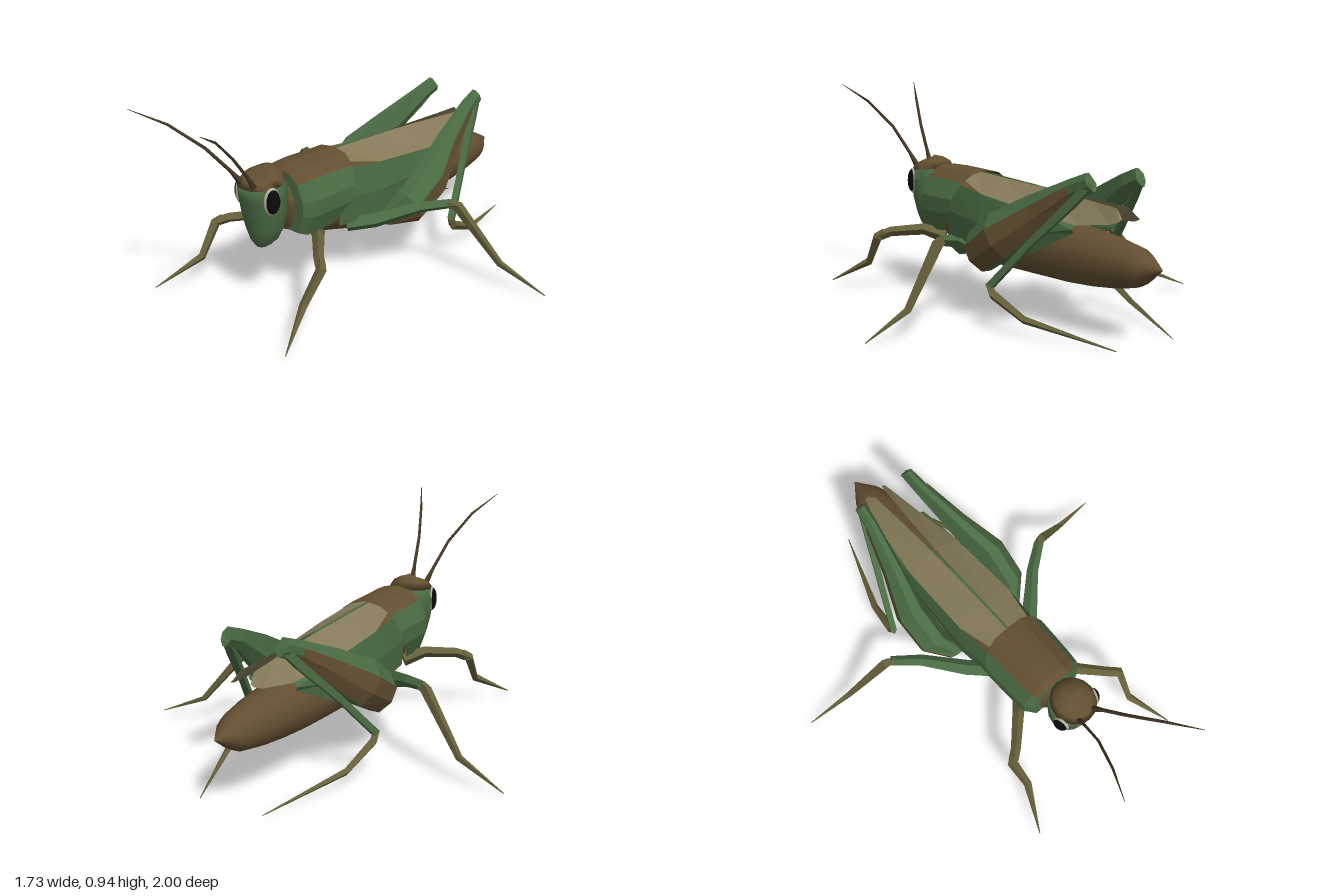
import * as THREE from 'three';

const V = (x, y, z) => new THREE.Vector3(x, y, z);
const mat = (color, flatShading = true) =>
  new THREE.MeshStandardMaterial({ color, flatShading, side: THREE.DoubleSide });

const GREEN = 0x4a6b43, BROWN = 0x634f31, TAN = 0x857a58, OLIVE = 0x65603a, DARK = 0x463824;

// Skin a row of equal-length rings; closed rings get end caps and face outward
function loft(rings, closed = true) {
  const n = rings[0].length, pos = [], idx = [];
  rings.forEach(r => r.forEach(p => pos.push(p.x, p.y, p.z)));
  for (let i = 0; i < rings.length - 1; i++)
    for (let j = 0; j < (closed ? n : n - 1); j++) {
      const a = i * n + j, b = i * n + (j + 1) % n;
      idx.push(a, b, b + n, a, b + n, a + n);
    }
  if (closed) {
    const last = (rings.length - 1) * n;
    for (let j = 1; j < n - 1; j++) idx.push(0, j + 1, j, last, last + j, last + j + 1);
    let volume = 0;
    const p = k => V(pos[3 * k], pos[3 * k + 1], pos[3 * k + 2]);
    for (let k = 0; k < idx.length; k += 3) volume += p(idx[k]).dot(p(idx[k + 1]).cross(p(idx[k + 2])));
    if (volume < 0) idx.reverse();
  }
  const g = new THREE.BufferGeometry();
  g.setAttribute('position', new THREE.Float32BufferAttribute(pos, 3));
  g.setIndex(idx);
  g.computeVertexNormals();
  return g;
}

function part(name, geometry, color, flat = true) {
  const m = new THREE.Mesh(geometry, mat(color, flat));
  m.name = name;
  return m;
}

const ring = (n, f) => Array.from({ length: n }, (_, i) => {
  const a = (i / n) * Math.PI * 2;
  return f(Math.cos(a), Math.sin(a));
});

// Bent, tapering limb; rows are [x, y, z, radius]
function limb(rows, sides = 4) {
  const pts = rows.map(r => V(r[0], r[1], r[2]));
  const end = pts.length - 1;
  const ref = pts[1].clone().sub(pts[0]).cross(pts[end].clone().sub(pts[0])).normalize();
  return loft(pts.map((p, i) => {
    const t = pts[Math.min(i + 1, end)].clone().sub(pts[Math.max(i - 1, 0)]).normalize();
    const u = ref.clone().cross(t).normalize(), v = t.clone().cross(u);
    return ring(sides, (c, s) => p.clone().addScaledVector(u, c * rows[i][3]).addScaledVector(v, s * rows[i][3]));
  }));
}

// Everything that exists once per side, built on +x
function buildSide() {
  const g = new THREE.Group();

  // Folded wing: tan roof [z, inner x, inner y, edge x, edge y] and green flank
  const roof = [[0.14, 0.005, 0.575, 0.1, 0.55], [-0.05, 0.005, 0.565, 0.14, 0.505],
    [-0.4, 0.008, 0.545, 0.132, 0.465], [-0.62, 0.018, 0.53, 0.1, 0.44],
    [-0.78, 0.028, 0.52, 0.068, 0.46], [-0.82, 0.04, 0.485, 0.055, 0.475]];
  g.add(part('wing', loft(roof.map(([z, a, b, c, d]) => [V(a, b, z), V(c, d, z)]), false), TAN));
  const flank = [[0.2, 0.12, 0.53, 0.13, 0.28], [-0.05, 0.14, 0.505, 0.155, 0.26],
    [-0.4, 0.132, 0.465, 0.14, 0.3], [-0.62, 0.1, 0.44, 0.11, 0.41]];
  g.add(part('wingFlank', loft(flank.map(([z, a, b, c, d]) =>
    [V(a, b, z), V((a + c) / 2 + 0.015, (b + d) / 2, z), V(c, d, z)]), false), GREEN));

  // Hind thigh: rows are centre x, y, z, half height, half width
  const thigh = [[0.16, 0.23, -0.05, 0.03, 0.04], [0.22, 0.28, -0.15, 0.09, 0.07],
    [0.225, 0.37, -0.3, 0.1, 0.07], [0.18, 0.48, -0.47, 0.075, 0.045],
    [0.14, 0.59, -0.65, 0.042, 0.03], [0.13, 0.625, -0.74, 0.04, 0.025]];
  const thighPoint = ([x, y, z, h, w], a, b) => V(x + a * w, y + 0.86 * b * h, z + 0.51 * b * h);
  const outline = [[0.35, 1], [1, 0.35], [0.9, -0.4], [0.25, -1], [-0.35, -1], [-1, -0.2], [-0.35, 1]];
  g.add(part('hindThigh', loft(thigh.map(t => outline.map(([a, b]) => thighPoint(t, a, b)))), GREEN));
  g.add(part('hindThighPanel', loft(thigh.slice(0, 5).map(t =>
    outline.slice(1, 4).map(([a, b]) => thighPoint(t, a, b).add(V(0.004, -0.001, 0)))), false), BROWN));
  g.add(part('hindShin', limb([[0.13, 0.62, -0.74, 0.022], [0.16, 0.54, -0.67, 0.024],
    [0.24, 0.36, -0.5, 0.019], [0.31, 0.18, -0.345, 0.02]]), GREEN));
  g.add(part('hindFoot', limb([[0.315, 0.19, -0.335, 0.015], [0.31, 0.145, -0.36, 0.021],
    [0.285, 0.07, -0.53, 0.016], [0.15, 0.005, -0.915, 0.002]]), OLIVE));

  // Middle leg
  g.add(part('middleThigh', limb([[0.1, 0.25, 0.12, 0.035], [0.19, 0.27, 0.04, 0.035],
    [0.33, 0.33, -0.1, 0.026], [0.44, 0.355, -0.18, 0.022]]), GREEN));
  g.add(part('middleShin', limb([[0.42, 0.355, -0.165, 0.02], [0.46, 0.345, -0.19, 0.024],
    [0.65, 0.11, -0.255, 0.015], [0.865, 0.02, -0.29, 0.002]]), OLIVE));

  // Front leg
  g.add(part('frontThigh', limb([[0.09, 0.27, 0.29, 0.032], [0.16, 0.3, 0.36, 0.026],
    [0.27, 0.285, 0.47, 0.022], [0.31, 0.265, 0.5, 0.022]]), OLIVE));
  g.add(part('frontShin', limb([[0.295, 0.285, 0.485, 0.016], [0.32, 0.26, 0.505, 0.023],
    [0.31, 0.13, 0.6, 0.018], [0.4, 0.02, 0.79, 0.002]]), OLIVE));

  // Antenna
  g.add(part('antenna', limb([[0.035, 0.55, 0.59, 0.016], [0.05, 0.62, 0.64, 0.008],
    [0.08, 0.74, 0.74, 0.007], [0.14, 0.86, 0.87, 0.006], [0.21, 0.94, 1.0, 0.001]]), DARK));

  // Eye with pale rim
  const eye = (name, x, rx, ry, rz, color) => {
    const m = part(name, new THREE.SphereGeometry(1, 16, 12), color, false);
    m.scale.set(rx, ry, rz);
    m.position.set(x, 0.5, 0.552);
    m.rotation.y = -0.3;
    g.add(m);
  };
  eye('eyeRim', 0.092, 0.017, 0.06, 0.037, 0xb0b0a0);
  eye('eye', 0.096, 0.021, 0.054, 0.033, 0x0a0a0a);
  return g;
}

export function createModel() {
  const model = new THREE.Group();
  model.name = 'grasshopper';

  // Abdomen and belly: z, top, bottom, half width
  const body = [[0.43, 0.53, 0.31, 0.08], [0.3, 0.53, 0.25, 0.12], [0.05, 0.5, 0.18, 0.15],
    [-0.3, 0.45, 0.18, 0.14], [-0.5, 0.43, 0.18, 0.125], [-0.64, 0.415, 0.187, 0.112],
    [-0.76, 0.4, 0.2, 0.1], [-0.87, 0.38, 0.22, 0.08], [-0.91, 0.36, 0.24, 0.065], [-1, 0.31, 0.308, 0.001]];
  model.add(part('abdomen', loft(body.map(([z, t, b, w]) =>
    ring(14, (c, s) => V(c * w, (t + b) / 2 + s * (t - b) / 2, z)))), BROWN, false));

  // Head: y, centre z, half width, half depth; the crown is brown
  const head = [[0.268, 0.53, 0.025, 0.025], [0.3, 0.515, 0.06, 0.06], [0.35, 0.51, 0.083, 0.08],
    [0.42, 0.512, 0.1, 0.09], [0.5, 0.515, 0.108, 0.1], [0.555, 0.52, 0.1, 0.104],
    [0.585, 0.518, 0.08, 0.085], [0.602, 0.515, 0.045, 0.05], [0.606, 0.515, 0.01, 0.01]];
  const headRings = head.map(([y, z, w, d]) => ring(16, (c, s) => V(c * w, y - 0.13 * Math.max(0, y - 0.5) * s, z + s * d)));
  model.add(part('head', loft(headRings.slice(0, 6)), GREEN, false));
  model.add(part('crown', loft(headRings.slice(5)), BROWN, false));
  const mouth = part('mouth', new THREE.SphereGeometry(1, 10, 8), BROWN, false);
  mouth.scale.set(0.05, 0.035, 0.045);
  mouth.position.set(0, 0.3, 0.515);
  model.add(mouth);

  // Collar saddle: x, y of the cross-section and z of the slanting rear edge
  const half = [[0, 0.592, 0.1], [0.07, 0.58, 0.1], [0.125, 0.54, 0.11], [0.165, 0.46, 0.14], [0.165, 0.39, 0.16], [0.13, 0.3, 0.24]];
  const stations = [[0.415, 0.78, 0.9], [0.385, 0.93, 0.99], [0.33, 0.96, 1], [null, 1, 0.94]];
  const saddle = (from, to, side) => stations.map(([z, sx, sy]) =>
    half.slice(from, to).map(([x, y, rear]) => V(side * x * sx, 0.42 + (y - 0.42) * sy, z ?? rear)));
  for (const side of [1, -1]) {
    model.add(part('collarTop', loft(saddle(0, 3, side), false), BROWN));
    model.add(part('collarSide', loft(saddle(2, 6, side), false), GREEN));
  }
  const front = saddle(0, 6, 1)[0];
  const mirrored = front.slice(1).reverse().map(p => V(-p.x, p.y, p.z));
  model.add(part('collarFront', loft([[...front, ...mirrored], [...front, ...mirrored].map(p => V(p.x, p.y, p.z - 0.01))]), GREEN));

  // Seam between the wings
  model.add(part('wingSeam', loft([[0.14, 0.578, 0.005], [-0.25, 0.555, 0.007], [-0.45, 0.53, 0.001]].map(([z, y, w]) =>
    [V(-w, y, z), V(w, y, z), V(0, y - 0.03, z)])), GREEN));

  const left = buildSide(), right = buildSide();
  left.name = 'leftSide';
  right.name = 'rightSide';
  right.scale.x = -1;
  model.add(left, right);
  return model;
}
